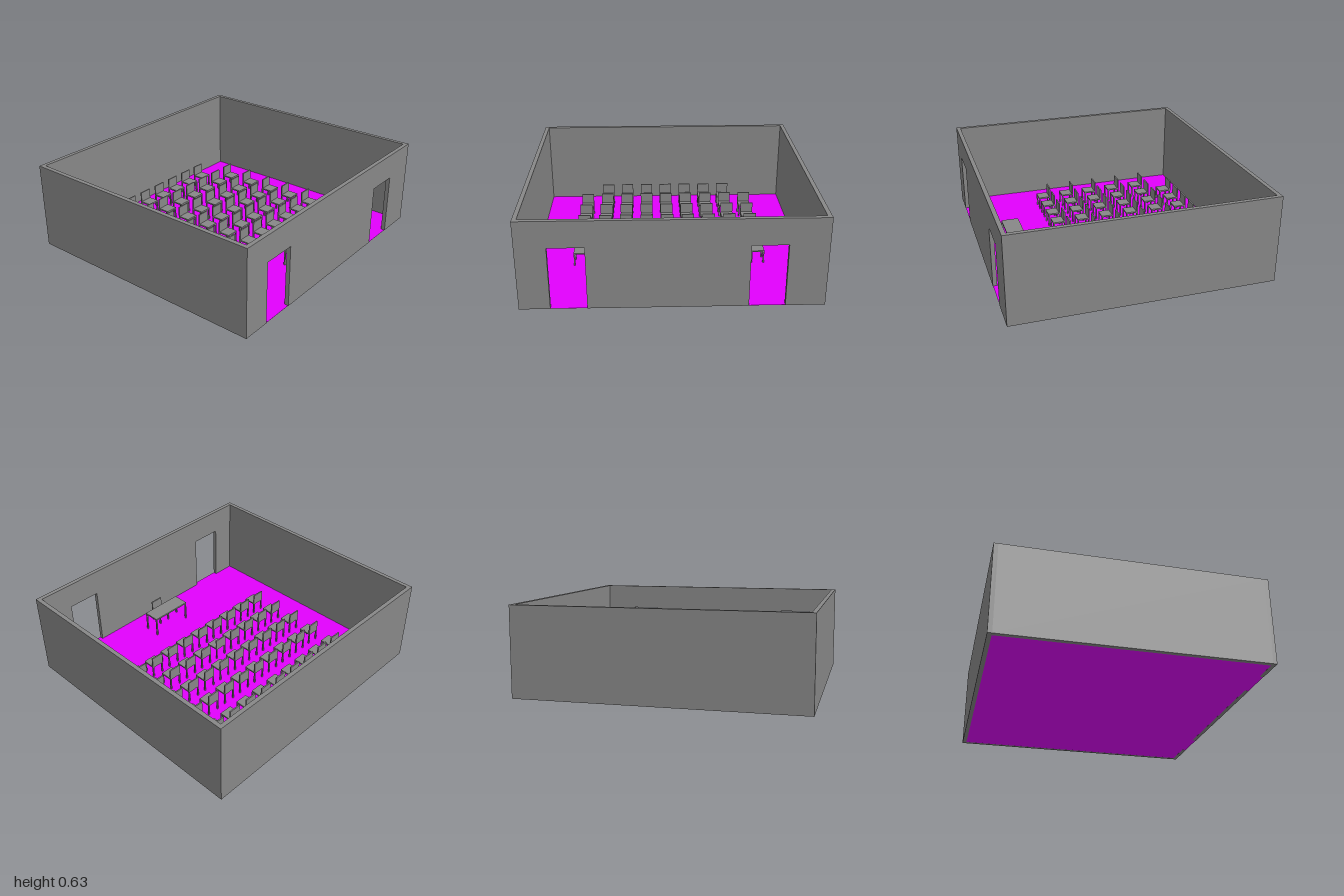
import * as THREE from 'three';

const grey = new THREE.MeshStandardMaterial({ color: 0x878787 });
const purple = new THREE.MeshStandardMaterial({ color: 0xe200fd });

const W = 1, D = 0.923, H = 0.63, T = 0.03; // half width, half depth, height, wall thickness

function box(parent, name, w, h, d, x, y, z, material = grey) {
  const mesh = new THREE.Mesh(new THREE.BoxGeometry(w, h, d), material);
  mesh.name = name;
  mesh.position.set(x, y, z);
  parent.add(mesh);
}

// Four thin legs set at the corners of a w x d rectangle
function addLegs(parent, name, w, d, h, t) {
  for (const sx of [-1, 1]) {
    for (const sz of [-1, 1]) {
      box(parent, name, t, h, t, sx * (w - t) / 2, h / 2, sz * (d - t) / 2);
    }
  }
}

// Chair facing +z, backrest on the -z edge
function makeChair(name) {
  const chair = new THREE.Group();
  chair.name = name;
  const s = 0.095;
  box(chair, 'seat', s, 0.011, s, 0, 0.0925, 0);
  box(chair, 'backrest', s, 0.076, 0.01, 0, 0.136, -s / 2 + 0.005);
  addLegs(chair, 'chairLeg', s, s, 0.087, 0.01);
  return chair;
}

function makeDesk() {
  const desk = new THREE.Group();
  desk.name = 'desk';
  box(desk, 'deskTop', 0.324, 0.012, 0.125, 0, 0.15, 0);
  addLegs(desk, 'deskLeg', 0.324, 0.125, 0.144, 0.011);
  return desk;
}

// Front wall outline with two door openings notched out of its lower edge
function makeFrontWall() {
  const doorTop = 0.442;
  const shape = new THREE.Shape();
  shape.moveTo(-W, 0);
  for (const [a, b] of [[-0.795, -0.555], [0.499, 0.738]]) {
    shape.lineTo(a, 0);
    shape.lineTo(a, doorTop);
    shape.lineTo(b, doorTop);
    shape.lineTo(b, 0);
  }
  shape.lineTo(W, 0);
  shape.lineTo(W, H);
  shape.lineTo(-W, H);
  shape.closePath();
  const geometry = new THREE.ExtrudeGeometry(shape, { depth: T, bevelEnabled: false });
  const wall = new THREE.Mesh(geometry, grey);
  wall.name = 'frontWall';
  wall.position.z = D - T;
  return wall;
}

export function createModel() {
  const room = new THREE.Group();
  room.name = 'lectureRoom';

  // Floor and walls
  box(room, 'floor', 2 * W - 0.004, 0.001, 2 * D - 0.004, 0, 0.001, 0, purple);
  room.add(makeFrontWall());
  box(room, 'backWall', 2 * W, H, T, 0, H / 2, -D + T / 2);
  for (const s of [-1, 1]) {
    box(room, s > 0 ? 'leftWall' : 'rightWall', T, H, 2 * (D - T), s * (W - T / 2), H / 2, 0);
  }

  // Audience: five rows of nine chairs, with seven in the rearmost row
  const rows = [[-0.694, 3], [-0.499, 4], [-0.289, 4], [-0.088, 4], [0.106, 4], [0.299, 4]];
  for (const [z, half] of rows) {
    for (let i = -half; i <= half; i++) {
      const chair = makeChair('audienceChair');
      chair.position.set(i * 0.1595 - 0.004, 0.001, z);
      room.add(chair);
    }
  }

  // Speaker's desk, with a chair facing the audience
  const desk = makeDesk();
  desk.position.set(0.003, 0.001, 0.672);
  room.add(desk);
  const speakerChair = makeChair('speakerChair');
  speakerChair.position.set(0.002, 0.001, 0.749);
  speakerChair.rotation.y = Math.PI;
  room.add(speakerChair);

  return room;
}
